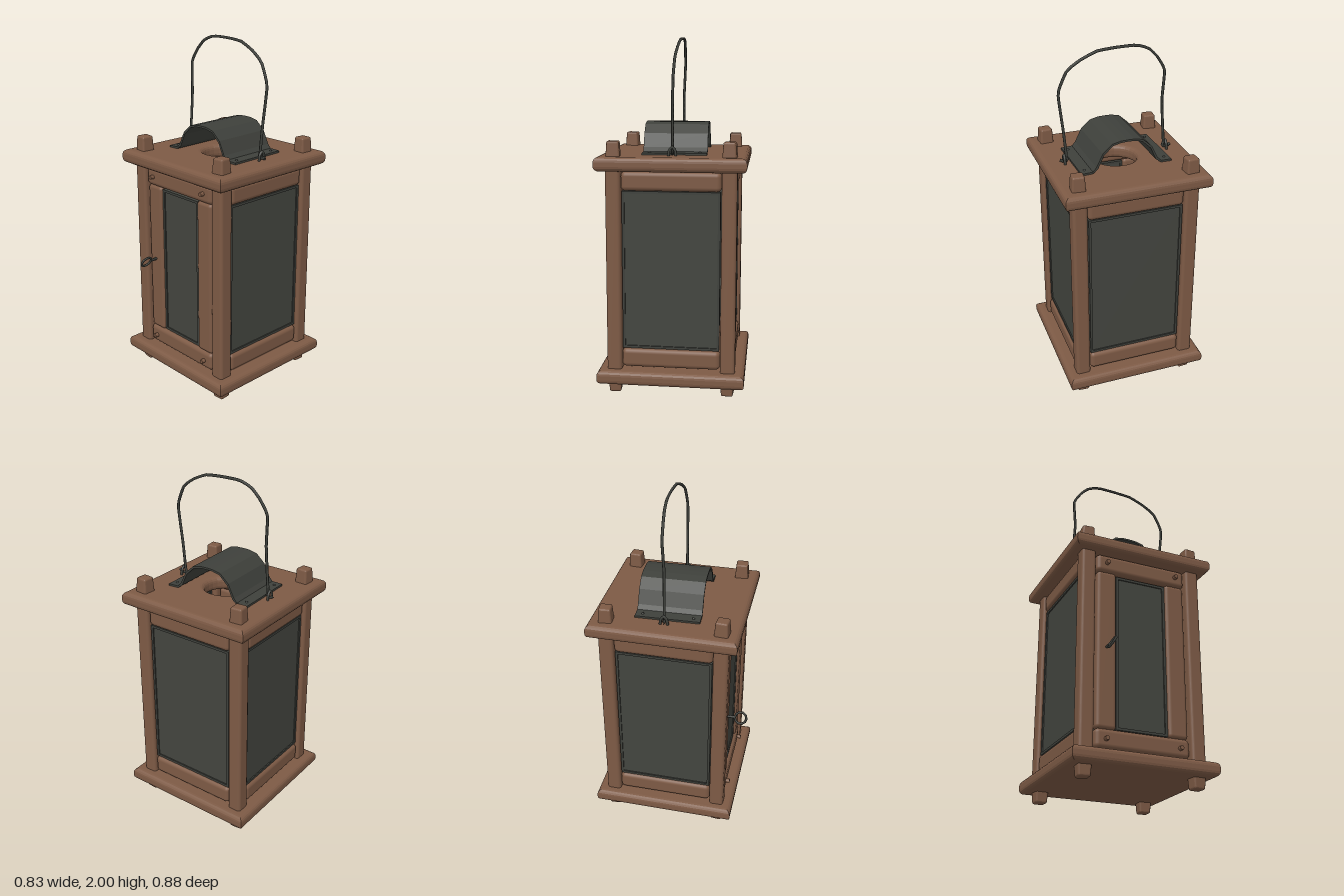
import * as THREE from 'three';
import { RoundedBoxGeometry } from 'three/addons/geometries/RoundedBoxGeometry.js';

const wood = new THREE.MeshStandardMaterial({ color: 0x7d5a45 });
wood.name = 'wood';
const glass = new THREE.MeshStandardMaterial({ color: 0x43453f });
glass.name = 'smoked pane';
const iron = new THREE.MeshStandardMaterial({ color: 0x3e403b });
iron.name = 'iron';

function add(parent, name, geometry, material, x = 0, y = 0, z = 0) {
  const mesh = new THREE.Mesh(geometry, material);
  mesh.name = name;
  mesh.position.set(x, y, z);
  parent.add(mesh);
  return mesh;
}

const block = (w, h, d, r) => new RoundedBoxGeometry(w, h, d, 3, r);

// Square board with rounded edges and an optional round hole
function boardGeometry(half, height, hole) {
  const b = 0.028, s = half - b;
  const shape = new THREE.Shape();
  shape.moveTo(-s, -s).lineTo(s, -s).lineTo(s, s).lineTo(-s, s).closePath();
  if (hole) shape.holes.push(new THREE.Path().absarc(0, 0, hole + b, 0, Math.PI * 2, true));
  const g = new THREE.ExtrudeGeometry(shape, {
    depth: height - 2 * b, bevelThickness: b, bevelSize: b, bevelSegments: 4, curveSegments: 12,
  });
  return g.rotateX(-Math.PI / 2).translate(0, b, 0);
}

// Peg that narrows towards one end (sign +1 top, -1 bottom)
function pegGeometry(width, height, sign) {
  const g = block(width, height, width, 0.012);
  const p = g.attributes.position;
  for (let i = 0; i < p.count; i++) {
    const k = p.getY(i) * sign > 0 ? 0.86 : 1;
    p.setX(i, p.getX(i) * k);
    p.setZ(i, p.getZ(i) * k);
  }
  g.computeVertexNormals();
  return g;
}

// Pane with a narrow metal border, centred on y
function addPane(parent, width, bottom, top, z) {
  const h = top - bottom, y = (top + bottom) / 2, e = 0.014;
  add(parent, 'pane', new THREE.BoxGeometry(width, h, 0.02), glass, 0, y, z);
  for (const s of [-1, 1]) {
    add(parent, 'paneBorderSide', new THREE.BoxGeometry(e, h, 0.034), iron, s * (width - e) / 2, y, z);
    add(parent, 'paneBorderEnd', new THREE.BoxGeometry(width, e, 0.034), iron, 0, y + s * (h - e) / 2, z);
  }
}

function tube(points, radius, segments) {
  const curve = new THREE.CatmullRomCurve3(points.map((p) => new THREE.Vector3(...p)), false, 'catmullrom', 0.2);
  return new THREE.TubeGeometry(curve, segments, radius, 6);
}

export function createModel() {
  const model = new THREE.Group();
  model.name = 'lantern';
  const body = new THREE.Group();
  body.name = 'body';
  body.position.z = -0.025;
  model.add(body);

  // Base and roof boards
  add(body, 'baseBoard', boardGeometry(0.415, 0.08, 0), wood, 0, 0.063, 0);
  add(body, 'roofBoard', boardGeometry(0.415, 0.08, 0.12), wood, 0, 1.275, 0);

  // Corner posts with pegs through both boards
  for (const sx of [-1, 1]) for (const sz of [-1, 1]) {
    const x = sx * 0.322, z = sz * 0.32;
    add(body, 'post', block(0.084, 1.16, 0.084, 0.018), wood, x, 0.71, z);
    const top = add(body, 'postTopPeg', pegGeometry(0.08, 0.12, 1), wood, x, 1.377, z);
    const foot = add(body, 'postFoot', pegGeometry(0.078, 0.1, -1), wood, x, 0.053, z);
    top.rotation.y = sx * sz * 0.08;
    foot.rotation.y = sx * sz * 0.08;
  }

  // Four walls: front is the door, the others are full panes
  for (let i = 0; i < 4; i++) {
    const wall = new THREE.Group();
    wall.name = ['door', 'leftWall', 'backWall', 'rightWall'][i];
    wall.rotation.y = i * Math.PI / 2;
    body.add(wall);
    const w = i === 0 ? 0.545 : 0.555;
    const depth = 0.07, z = 0.32;
    for (const y of [0.208, 1.218]) {
      add(wall, 'rail', block(w, 0.108, depth, 0.026), wood, 0, y, z);
    }
    if (i > 0) {
      addPane(wall, 0.545, 0.265, 1.163, z + 0.006);
      continue;
    }
    addPane(wall, 0.3, 0.265, 1.155, z);
    for (const s of [-1, 1]) {
      add(wall, 'doorStile', block(0.118, 0.91, 0.06, 0.022), wood, s * 0.209, 0.713, z);
      for (const y of [0.205, 1.22]) {
        const nail = add(wall, 'doorPeg', new THREE.CylinderGeometry(0.012, 0.013, 0.03, 8), wood, s * 0.212, y, 0.363);
        nail.rotation.x = Math.PI / 2;
      }
    }
  }

  // Door pull ring on a short stem
  const pull = new THREE.Group();
  pull.name = 'doorPull';
  pull.position.set(-0.21, 0.712, 0.4);
  model.add(pull);
  const ring = add(pull, 'pullRing', new THREE.TorusGeometry(0.034, 0.007, 6, 10), iron);
  ring.rotation.set(0, Math.PI / 2, 0);
  const stem = add(pull, 'pullStem', new THREE.CylinderGeometry(0.008, 0.008, 0.06, 6), iron, 0, 0, -0.062);
  stem.rotation.x = Math.PI / 2;
  pull.rotation.z = -0.5;

  // Bent sheet hood over the vent hole
  const hood = new THREE.Group();
  hood.name = 'hood';
  hood.position.z = -0.027;
  hood.rotation.y = 0.03;
  model.add(hood);
  const half = [[0.265, 1.356], [0.2, 1.358], [0.18, 1.38], [0.143, 1.455], [0.09, 1.503], [0.04, 1.514]];
  const line = [...half, [0, 1.515], ...half.slice().reverse().map(([x, y]) => [-x, y])];
  const t = 0.011;
  const outline = new THREE.Shape();
  line.forEach(([x, y], i) => (i ? outline.lineTo(x, y + t) : outline.moveTo(x, y + t)));
  line.slice().reverse().forEach(([x, y]) => outline.lineTo(x * (y > 1.37 ? 0.95 : 1), y));
  outline.closePath();
  const sheet = new THREE.ExtrudeGeometry(outline, { depth: 0.36, bevelEnabled: false });
  add(hood, 'hoodSheet', sheet.translate(0, 0, -0.18), iron);
  for (const sx of [-1, 1]) for (const sz of [-1, 1]) {
    add(hood, 'hoodNail', new THREE.SphereGeometry(0.009, 6, 4), iron, sx * 0.236, 1.366, sz * 0.14);
  }

  // Wire bail with a staple at each end
  add(model, 'bail', tube([
    [-0.29, 1.39, -0.028], [-0.272, 1.65, -0.03], [-0.28, 1.83, -0.037], [-0.23, 1.915, -0.042],
    [-0.18, 1.965, -0.046], [-0.11, 1.991, -0.05], [0, 1.992, -0.052], [0.11, 1.983, -0.05],
    [0.2, 1.944, -0.046], [0.275, 1.89, -0.04], [0.325, 1.77, -0.035], [0.302, 1.55, -0.03],
    [0.288, 1.39, -0.028],
  ], 0.008, 48), iron);
  for (const s of [-1, 1]) {
    add(model, 'staple', tube([
      [s * 0.302, 1.34, -0.05], [s * 0.302, 1.385, -0.045], [s * 0.302, 1.405, -0.028],
      [s * 0.302, 1.385, -0.011], [s * 0.302, 1.34, -0.006],
    ], 0.008, 14), iron);
    add(model, 'bailHook', tube([
      [s * 0.29, 1.395, -0.028], [s * 0.283, 1.372, -0.028], [s * 0.305, 1.366, -0.029], [s * 0.33, 1.38, -0.03],
    ], 0.008, 10), iron);
  }

  return model;
}
